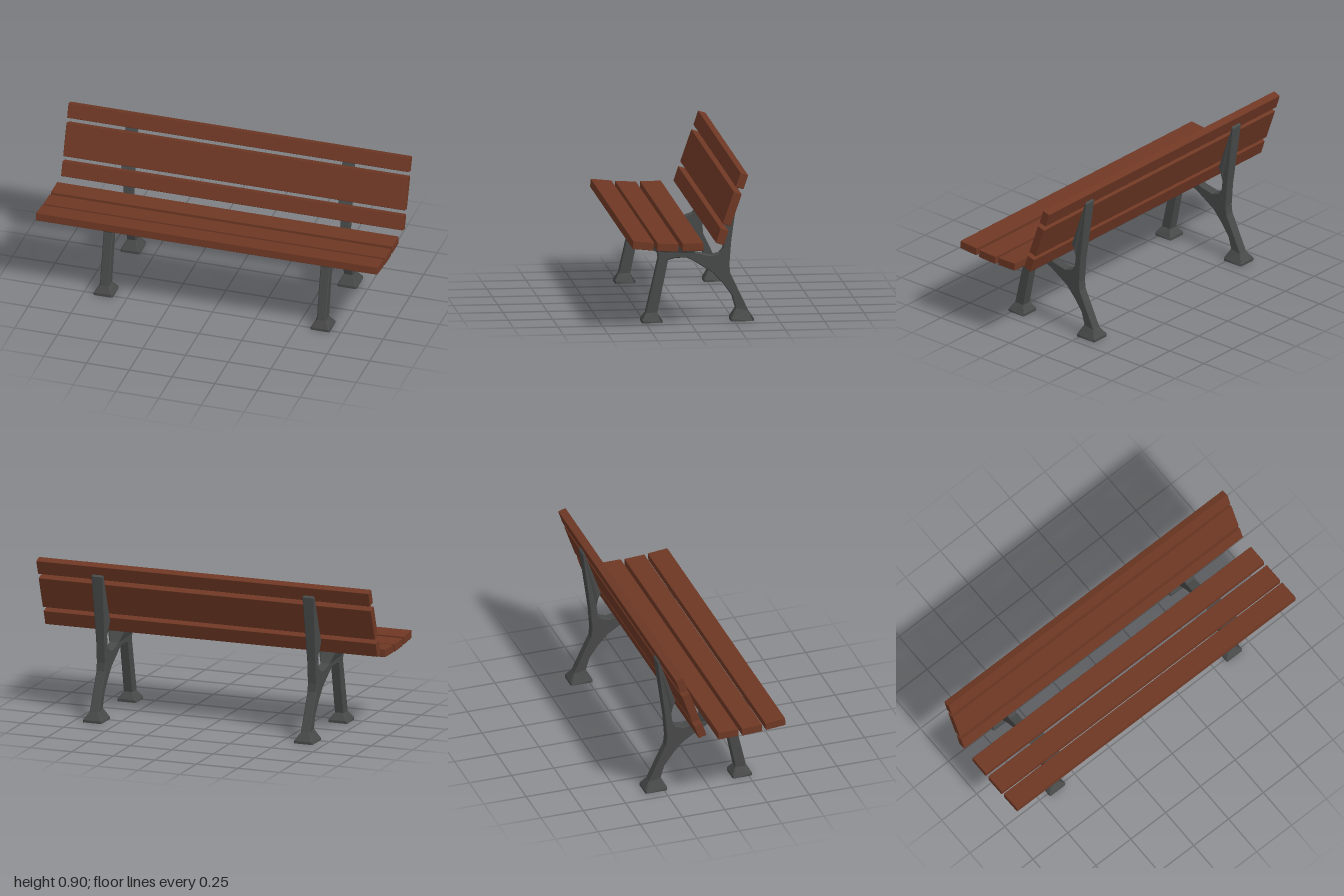
import * as THREE from 'three';
import { RoundedBoxGeometry } from 'three/addons/geometries/RoundedBoxGeometry.js';

const wood = new THREE.MeshStandardMaterial({ color: 0x6f3824 });
wood.name = 'brown wood';
const iron = new THREE.MeshStandardMaterial({ color: 0x484949, flatShading: true });
iron.name = 'dark cast iron';

// Side outline of the iron frame as [z, y]
const outline = [
  // front foot, front leg and seat support
  [0.155, 0], [0.27, 0], [0.27, 0.015], [0.245, 0.055], [0.175, 0.36], [0.18, 0.395],
  [0.31, 0.458], [0.31, 0.47], [0.22, 0.46], [0.13, 0.456], [0.0, 0.455],
  // dip behind the seat, then the back post
  [-0.035, 0.39], [-0.125, 0.37], [-0.17, 0.385], [-0.19, 0.41], [-0.197, 0.47],
  [-0.19, 0.52], [-0.175, 0.55], [-0.275, 0.835], [-0.285, 0.825], [-0.235, 0.45],
  // rear leg and foot
  [-0.225, 0.32], [-0.23, 0.27], [-0.33, 0.06], [-0.36, 0.015], [-0.36, 0],
  [-0.23, 0], [-0.23, 0.015], [-0.26, 0.07], [-0.24, 0.14], [-0.19, 0.21],
  // arch between the legs
  [-0.13, 0.275], [-0.02, 0.345], [0.015, 0.362], [0.08, 0.362], [0.12, 0.35],
  [0.18, 0.055], [0.155, 0.015],
];

// The frame is wide at the feet and under the seat, slim along the legs
function halfWidth(z, y) {
  if (y < 0.03) return 0.056;
  if (y > 0.43 && z > -0.03) return 0.05;
  if (y > 0.5) return 0.036;
  return 0.027;
}

function frameGeometry() {
  const bevel = 0.004;
  const shape = new THREE.Shape(outline.map(([z, y]) => new THREE.Vector2(z, y)));
  const geo = new THREE.ExtrudeGeometry(shape, {
    depth: 1.7, bevelEnabled: true, bevelThickness: 0.15, bevelSize: bevel,
    bevelOffset: -bevel, bevelSegments: 1,
  });
  geo.translate(0, 0, -0.85);
  const p = geo.attributes.position;
  for (let i = 0; i < p.count; i++) {
    const z = p.getX(i), y = p.getY(i);
    p.setZ(i, p.getZ(i) * halfWidth(z, y));
    if (y < 0.008) p.setY(i, 0); // keep the soles flat
  }
  geo.rotateY(-Math.PI / 2);
  geo.computeVertexNormals();
  return geo;
}

// Slats: name, centre y and z, height, depth, tilt about x
const slats = [
  ['seatSlatFront', 0.495, 0.300, 0.046, 0.118, -0.1],
  ['seatSlatMiddle', 0.483, 0.162, 0.046, 0.119, -0.055],
  ['seatSlatRear', 0.482, 0.021, 0.046, 0.119, 0],
  ['backSlatLower', 0.537, -0.144, 0.087, 0.048, -0.32],
  ['backSlatMiddle', 0.694, -0.200, 0.192, 0.048, -0.335],
  ['backSlatTop', 0.851, -0.255, 0.085, 0.046, -0.32],
];

export function createModel() {
  const bench = new THREE.Group();
  bench.name = 'bench';

  for (const [name, y, z, height, depth, tilt] of slats) {
    const slat = new THREE.Mesh(new RoundedBoxGeometry(2, height, depth, 1, 0.003), wood);
    slat.name = name;
    slat.position.set(0, y, z);
    slat.rotation.x = tilt;
    bench.add(slat);
  }

  const geo = frameGeometry();
  for (const side of [-1, 1]) {
    const frame = new THREE.Mesh(geo, iron);
    frame.name = side > 0 ? 'leftFrame' : 'rightFrame';
    frame.position.x = side * 0.635;
    bench.add(frame);
  }
  return bench;
}
